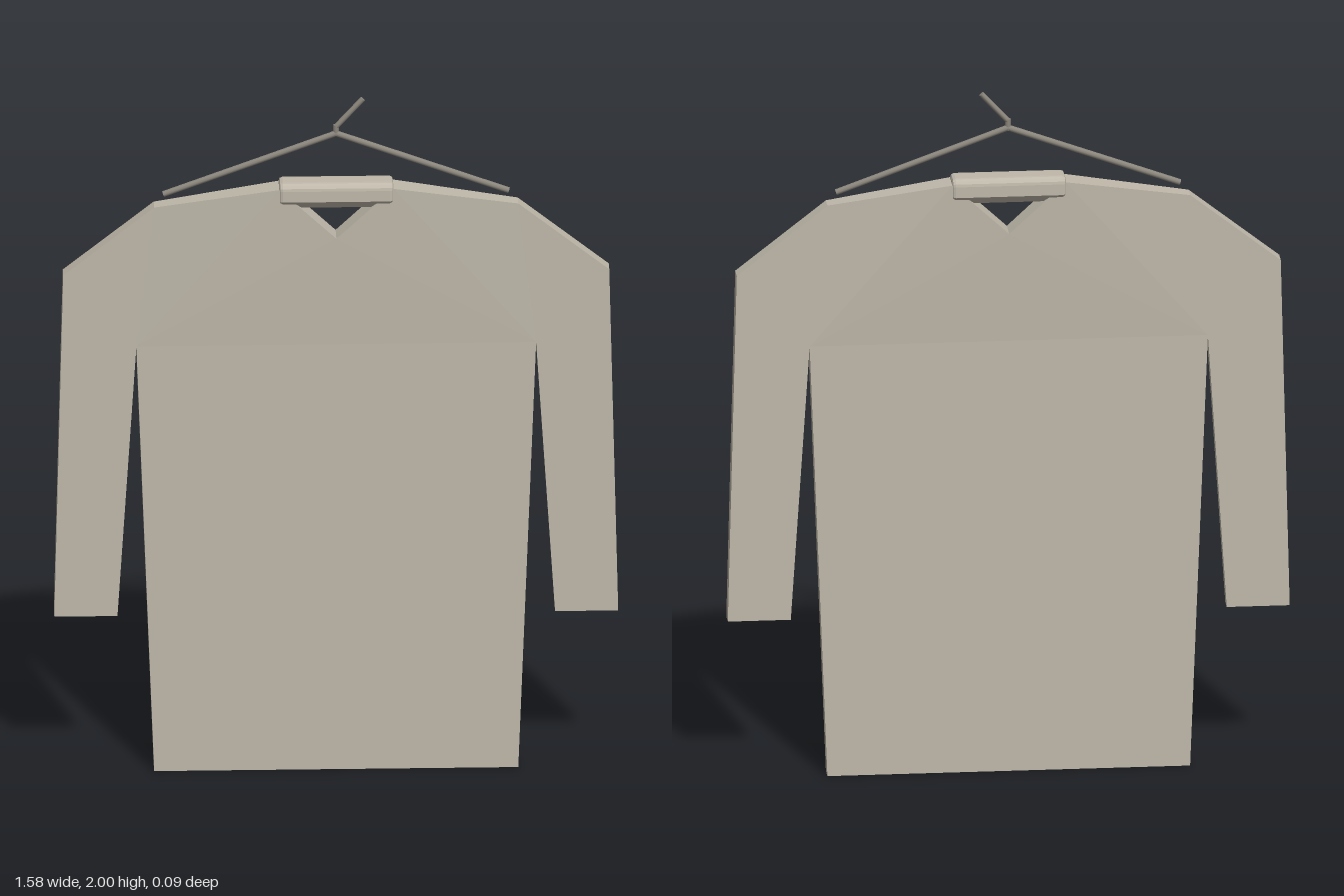
import * as THREE from 'three';

const cloth = new THREE.MeshStandardMaterial({ color: 0xbfb8aa });
cloth.name = 'cloth';
const wire = new THREE.MeshStandardMaterial({ color: 0x8c877d });
wire.name = 'hangerGrey';

// Left half of the garment: x, y, half thickness
const half = [
  [0, 1.59, 0.036],      // 0 bottom of the neck notch
  [0.16, 1.738, 0.038],  // 1 neck
  [0.51, 1.685, 0.024],  // 2 shoulder
  [0.765, 1.485, 0.024], // 3 upper sleeve
  [0.79, 0.465, 0.024],  // 4 outer cuff
  [0.613, 0.465, 0.024], // 5 inner cuff
  [0.56, 1.27, 0.024],   // 6 armpit
  [0.51, 0, 0.024],      // 7 hem corner
  [0, 0, 0.024],         // 8 hem centre
  [0, 1.27, 0.024],      // 9 chest centre
];
const panels = [[4, 6, 5], [4, 3, 6], [3, 2, 6], [2, 1, 6], [1, 0, 6], [0, 9, 6], [9, 8, 7], [9, 7, 6]];
const outline = [8, 7, 6, 5, 4, 3, 2, 1, 0];

// Front and back panels joined by walls along the outline, mirrored in x
function garmentGeometry() {
  const pos = [];
  const tri = (a, b, c, flip) => pos.push(...a, ...(flip ? c : b), ...(flip ? b : c));
  for (const sx of [1, -1]) {
    const at = (i, sz) => [half[i][0] * sx, half[i][1], half[i][2] * sz];
    for (const sz of [1, -1]) {
      for (const [a, b, c] of panels) tri(at(a, sz), at(b, sz), at(c, sz), sx * sz < 0);
    }
    for (let k = 0; k < outline.length - 1; k++) {
      const a = outline[k], b = outline[k + 1];
      tri(at(a, 1), at(a, -1), at(b, -1), sx < 0);
      tri(at(a, 1), at(b, -1), at(b, 1), sx < 0);
    }
  }
  const g = new THREE.BufferGeometry();
  g.setAttribute('position', new THREE.Float32BufferAttribute(pos, 3));
  g.computeVertexNormals();
  return g;
}

// Rounded bar across the neck, with softened ends
function collarGeometry() {
  const bevel = 0.01;
  const w = 0.044 - bevel, top = 0.037 - bevel;
  const s = new THREE.Shape();
  s.moveTo(-w * 0.6, -top);
  s.lineTo(w * 0.6, -top);
  s.lineTo(w, -top * 0.4);
  s.lineTo(w, top * 0.6);
  s.quadraticCurveTo(w, top, w * 0.6, top);
  s.lineTo(-w * 0.6, top);
  s.quadraticCurveTo(-w, top, -w, top * 0.6);
  s.lineTo(-w, -top * 0.4);
  s.closePath();
  const g = new THREE.ExtrudeGeometry(s, {
    depth: 0.3, curveSegments: 4, bevelEnabled: true,
    bevelSize: bevel, bevelThickness: bevel, bevelSegments: 2,
  });
  g.translate(0, 0, -0.15);
  g.rotateY(Math.PI / 2);
  return g;
}

// Straight rod between two points
function rod(name, from, to, radius) {
  const a = new THREE.Vector3(...from), b = new THREE.Vector3(...to);
  const dir = b.clone().sub(a);
  const mesh = new THREE.Mesh(new THREE.CylinderGeometry(radius, radius, dir.length(), 8), wire);
  mesh.position.copy(a).add(b).multiplyScalar(0.5);
  mesh.quaternion.setFromUnitVectors(new THREE.Vector3(0, 1, 0), dir.normalize());
  mesh.name = name;
  return mesh;
}

export function createModel() {
  const model = new THREE.Group();
  model.name = 'shirtOnHanger';

  const garment = new THREE.Mesh(garmentGeometry(), cloth);
  garment.name = 'shirt';
  const collar = new THREE.Mesh(collarGeometry(), cloth);
  collar.name = 'collar';
  collar.position.y = 1.717;

  // Hanger: two sloping arms and a bent hook
  const hanger = new THREE.Group();
  hanger.name = 'hanger';
  hanger.add(
    rod('leftArm', [0, 1.892, 0], [0.484, 1.716, 0], 0.009),
    rod('rightArm', [0, 1.892, 0], [-0.484, 1.716, 0], 0.009),
    rod('hookStem', [0, 1.886, 0], [0, 1.918, 0], 0.008),
    rod('hookTip', [0, 1.912, 0], [0.075, 1.994, 0], 0.008),
  );

  model.add(garment, collar, hanger);
  return model;
}
